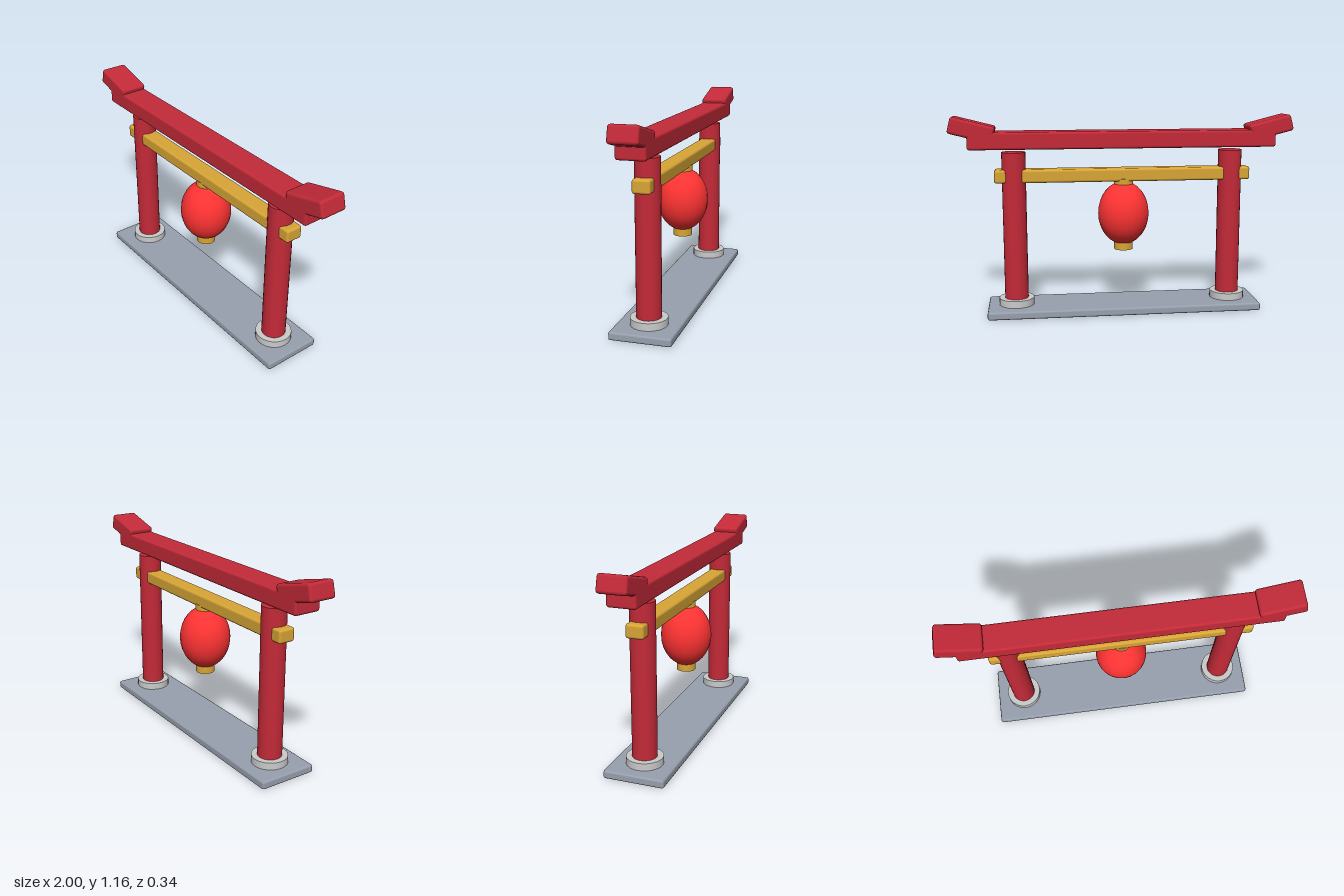
import * as THREE from 'three';
import { RoundedBoxGeometry } from 'three/addons/geometries/RoundedBoxGeometry.js';

const material = (color) => new THREE.MeshStandardMaterial({ color });

export function createModel() {
  const group = new THREE.Group();
  const red = material(0xc42a38);
  const gold = material(0xd9a636);
  const stone = material(0x98a1af);
  const grey = material(0xcccccc);
  const paper = material(0xff3333);

  const add = (name, geometry, mat, x, y, z = 0) => {
    const mesh = new THREE.Mesh(geometry, mat);
    mesh.name = name;
    mesh.position.set(x, y, z);
    group.add(mesh);
    return mesh;
  };
  const box = (w, h, d, r, segments = 2) => new RoundedBoxGeometry(w, h, d, segments, r);
  const cylinder = (r, h, sides = 24) => new THREE.CylinderGeometry(r, r, h, sides);

  // Stone slab with bevelled edges
  add('baseSlab', box(1.61, 0.047, 0.345, 0.012, 1), stone, 0, 0.0235);

  // Posts on round footings, and the raised lintel tips
  for (const [side, s] of [['left', 1], ['right', -1]]) {
    add(side + 'Footing', cylinder(0.103, 0.043), grey, s * 0.638, 0.0675);
    add(side + 'Post', cylinder(0.069, 0.9), red, s * 0.638, 0.502);
    const tip = add(side + 'LintelTip', box(0.255, 0.096, 0.16, 0.016), red, s * 0.869, 1.083);
    tip.rotation.z = s * 0.25;
  }

  // Top lintel and the tie beam through the posts
  add('lintel', box(1.79, 0.1, 0.16, 0.014), red, 0, 1.021);
  add('tieBeam', box(1.5, 0.077, 0.1, 0.014), gold, 0, 0.814);

  // Hanging lantern with end caps
  const body = add('lanternBody', new THREE.SphereGeometry(0.15, 24, 16), paper, 0, 0.583);
  body.scale.y = 1.25;
  add('lanternTopCap', cylinder(0.056, 0.045), gold, 0, 0.768);
  add('lanternBottomCap', cylinder(0.056, 0.045), gold, 0, 0.388);

  return group;
}
